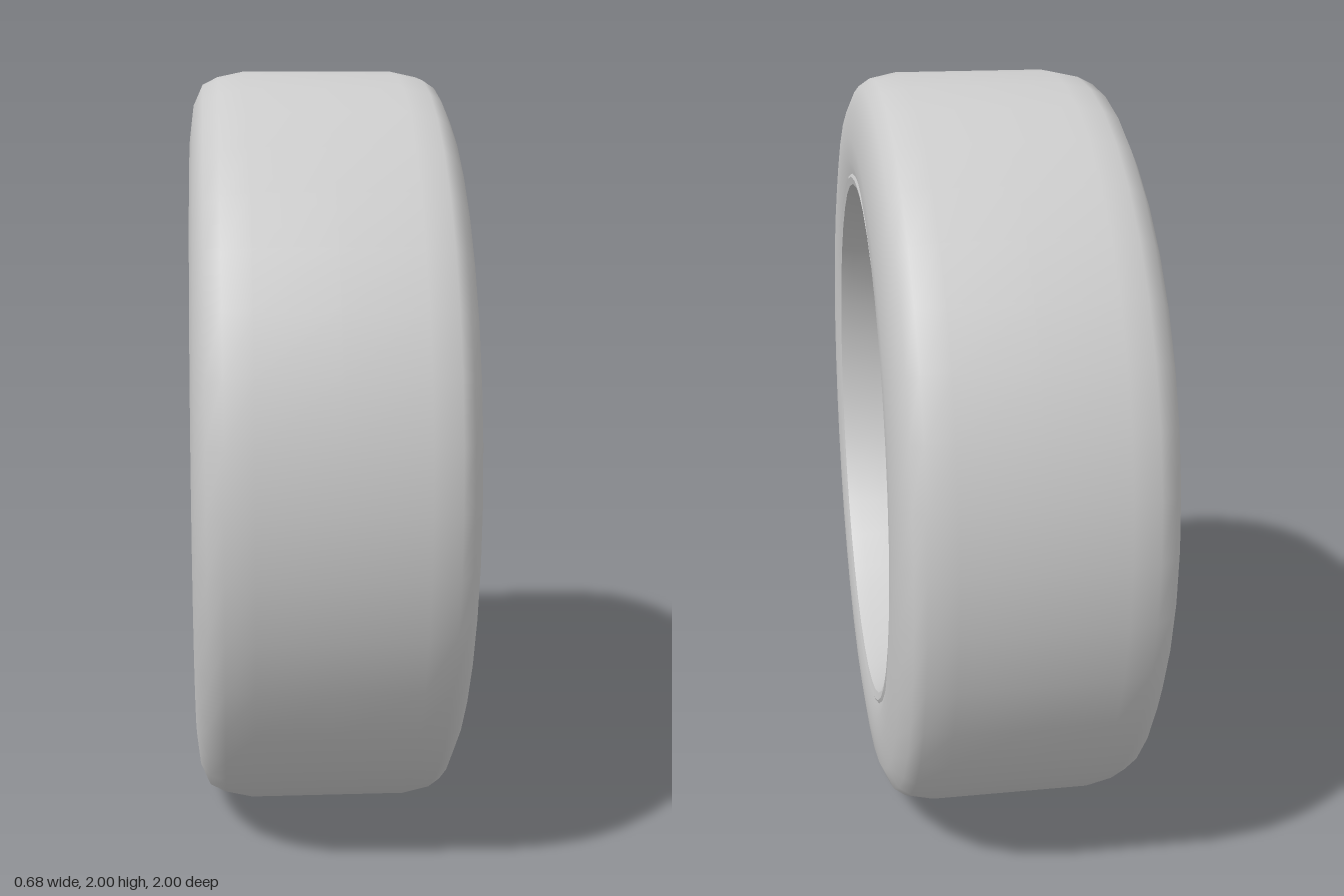
import * as THREE from 'three';
import { toCreasedNormals } from 'three/addons/utils/BufferGeometryUtils.js';

const material = new THREE.MeshStandardMaterial({ color: 0xcccccc });
const doubleSided = new THREE.MeshStandardMaterial({ color: 0xcccccc, side: THREE.DoubleSide });
const rad = THREE.MathUtils.degToRad;

// Revolve [x, radius] points about the x axle
function revolve(name, points, segments, crease, mat = material) {
  let g = new THREE.LatheGeometry(points.map(([x, r]) => new THREE.Vector2(r, x)), segments);
  if (crease) g = toCreasedNormals(g, rad(crease));
  g.rotateZ(-Math.PI / 2);
  const mesh = new THREE.Mesh(g, mat);
  mesh.name = name;
  return mesh;
}

// Cylinder along x between x0 and x1
function axial(name, radius, x0, x1, segments) {
  const g = new THREE.CylinderGeometry(radius, radius, x1 - x0, segments);
  g.rotateZ(-Math.PI / 2);
  g.translate((x0 + x1) / 2, 0, 0);
  const mesh = new THREE.Mesh(g, material);
  mesh.name = name;
  return mesh;
}

// Spoke lofted along +y: each section is [radius, halfWidth, crownX, edgeX, backX]
function spokeGeometry() {
  const sections = [
    [0.16, 0.045, -0.215, -0.2, -0.13],
    [0.24, 0.06, -0.245, -0.2, -0.12],
    [0.34, 0.075, -0.275, -0.21, -0.12],
    [0.46, 0.083, -0.29, -0.225, -0.13],
    [0.57, 0.09, -0.295, -0.24, -0.15],
    [0.64, 0.1, -0.298, -0.25, -0.16],
    [0.69, 0.112, -0.3, -0.27, -0.22],
  ];
  const arc = 8, ring = arc + 3, pos = [], index = [];
  for (const [r, w, crown, edge, back] of sections) {
    for (let i = 0; i <= arc; i++) {
      const t = Math.PI * i / arc;
      pos.push(edge + (crown - edge) * Math.sin(t), r, -w * Math.cos(t));
    }
    pos.push(back, r, w * 0.8, back, r, -w * 0.8);
  }
  for (let s = 0; s < sections.length - 1; s++) {
    for (let i = 0; i < ring; i++) {
      const a = s * ring + i, b = s * ring + (i + 1) % ring;
      index.push(a, b, a + ring, b, b + ring, a + ring);
    }
  }
  const g = new THREE.BufferGeometry();
  g.setAttribute('position', new THREE.Float32BufferAttribute(pos, 3));
  g.setIndex(index);
  return toCreasedNormals(g, rad(40));
}

export function createModel() {
  const wheel = new THREE.Group();
  wheel.name = 'wheel';

  // Tyre with rounded shoulders
  wheel.add(revolve('tyre', [
    [-0.325, 0.715], [-0.34, 0.76], [-0.345, 0.83], [-0.335, 0.91], [-0.31, 0.965],
    [-0.27, 0.985], [-0.2, 1], [0, 1], [0.2, 1], [0.27, 0.985], [0.3, 0.965],
    [0.325, 0.91], [0.335, 0.83], [0.335, 0.77], [0.325, 0.73],
  ], 40, 0, doubleSided));

  // Rim barrel with both lips
  wheel.add(revolve('rim', [
    [-0.3, 0.7], [-0.33, 0.705], [-0.333, 0.725], [-0.32, 0.735], [-0.26, 0.72], [0.26, 0.72],
    [0.325, 0.735], [0.33, 0.725], [0.325, 0.705], [0.29, 0.695], [0.22, 0.69], [0.1, 0.67],
    [-0.03, 0.645], [-0.13, 0.632], [-0.21, 0.645], [-0.26, 0.68], [-0.3, 0.7],
  ], 40, 35));

  // Nine crowned spokes
  const spokes = new THREE.Group();
  spokes.name = 'spokes';
  const spokeShape = spokeGeometry();
  for (let i = 0; i < 9; i++) {
    const spoke = new THREE.Mesh(spokeShape, material);
    spoke.name = 'spoke';
    spoke.rotation.x = rad(-5 + 40 * i);
    spokes.add(spoke);
  }
  wheel.add(spokes);

  // Hub plate with five bolt holes
  const plate = new THREE.Shape().absarc(0, 0, 0.225, 0, Math.PI * 2);
  const bolts = new THREE.Group();
  bolts.name = 'wheelBolts';
  for (let i = 0; i < 5; i++) {
    const a = rad(27 + 72 * i), z = -0.168 * Math.cos(a), y = 0.168 * Math.sin(a);
    plate.holes.push(new THREE.Path().absarc(z, y, 0.034, 0, Math.PI * 2, true));
    // Recessed bolt head and its rear sleeve
    const bolt = axial('wheelBolt', 0.022, -0.215, -0.09, 10);
    const sleeve = revolve('boltSleeve', [
      [-0.2, 0.026], [-0.2, 0.036], [-0.105, 0.04], [-0.095, 0.036], [-0.095, 0.026], [-0.2, 0.026],
    ], 14, 35);
    for (const part of [bolt, sleeve]) {
      part.position.set(0, y, z);
      bolts.add(part);
    }
  }
  const plateGeometry = new THREE.ExtrudeGeometry(plate, { depth: 0.1, bevelEnabled: false, curveSegments: 20 });
  plateGeometry.rotateY(-Math.PI / 2);
  plateGeometry.translate(-0.13, 0, 0);
  const hub = new THREE.Mesh(toCreasedNormals(plateGeometry, rad(35)), material);
  hub.name = 'hubPlate';
  wheel.add(hub, bolts, axial('centreCap', 0.098, -0.24, -0.1, 28));

  // Brake disc with a recessed hat
  wheel.add(revolve('brakeDisc', [
    [-0.05, 0.21], [-0.05, 0.35], [0.03, 0.37], [0.03, 0.5], [0.08, 0.5], [0.08, 0.35],
    [-0.01, 0.325], [-0.01, 0.21], [-0.05, 0.21],
  ], 48, 30));

  // Eight-sided collar joining the disc to the hub
  wheel.add(revolve('hubCollar', [[-0.14, 0.2], [0.0, 0.222]], 8, 20, doubleSided));

  // Lift the axle so the tyre rests on the ground
  for (const part of wheel.children) part.position.y += 1;
  return wheel;
}
